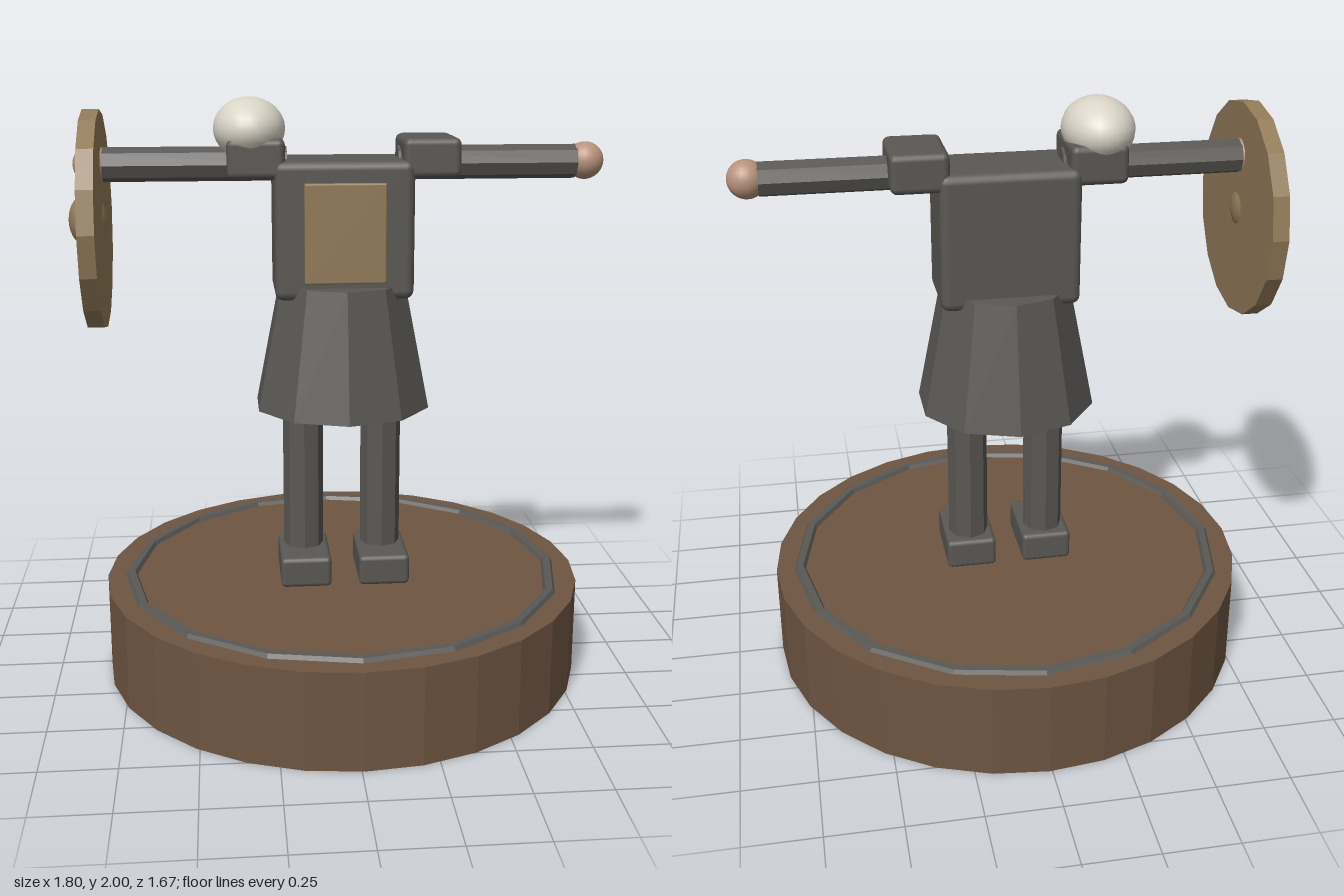
import * as THREE from 'three';
import { RoundedBoxGeometry } from 'three/addons/geometries/RoundedBoxGeometry.js';

const mat = (name, color) => {
  const m = new THREE.MeshStandardMaterial({ color });
  m.name = name;
  return m;
};

// Faceted copy of a geometry
const faceted = (geo) => {
  const g = geo.toNonIndexed();
  g.computeVertexNormals();
  return g;
};

export function createModel() {
  const iron = mat('dark iron', 0x5a5854);
  const wood = mat('brown wood', 0x6e5542);
  const tan = mat('tan leather', 0x927a58);
  const skin = mat('skin', 0xb8927c);
  const cream = mat('cream', 0xdad5c7);

  const root = new THREE.Group();
  root.name = 'shieldBearerFigure';
  const figure = new THREE.Group();
  figure.name = 'figure';
  figure.position.x = 0.009;
  root.add(figure);

  const add = (name, geo, material, x, y, z = 0) => {
    const mesh = new THREE.Mesh(geo, material);
    mesh.name = name;
    mesh.position.set(x, y, z);
    figure.add(mesh);
    return mesh;
  };
  const prism = (rTop, rBottom, h, sides) => faceted(new THREE.CylinderGeometry(rTop, rBottom, h, sides));
  const block = (w, h, d, r) => new RoundedBoxGeometry(w, h, d, 2, r);
  const ball = (rx, ry, rz) => new THREE.SphereGeometry(1, 24, 16).scale(rx, ry, rz);

  // Plinth with an inlaid ring
  add('plinth', prism(0.833, 0.833, 0.334, 28), wood, 0, 0.167);
  add('plinthRing', faceted(new THREE.TorusGeometry(0.75, 0.025, 6, 16).rotateX(Math.PI / 2)), iron, 0, 0.326);

  // Skirt, torso and chest panel
  add('skirt', prism(0.22, 0.306, 0.43, 10), iron, 0, 1.168);
  add('torso', block(0.464, 0.46, 0.286, 0.03), iron, 0, 1.57);
  add('chestPanel', block(0.27, 0.33, 0.05, 0.006), tan, 0, 1.565, 0.136);

  // Limbs, mirrored
  for (const [side, s] of [['left', 1], ['right', -1]]) {
    add(side + 'Leg', prism(0.07, 0.07, 0.58, 8), iron, s * 0.136, 0.69);
    add(side + 'Foot', block(0.175, 0.107, 0.265, 0.016), iron, s * 0.136, 0.386, 0.037);
    add(side + 'Arm', prism(0.057, 0.057, 0.605, 8).rotateZ(Math.PI / 2), iron, s * 0.4875, 1.782);
    add(side + 'ShoulderPad', block(0.19, 0.13, 0.264, 0.022), iron, s * 0.289, 1.806);
    add(side + 'Hand', ball(0.063, 0.063, 0.063), skin, s * 0.825, 1.784);
  }

  // Rounded cream mantle resting on the right shoulder
  add('shoulderMantle', ball(0.119, 0.103, 0.157), cream, -0.307, 1.897);

  // Round shield with a central boss, held at the right hand
  add('shield', prism(0.362, 0.362, 0.055, 16).rotateZ(Math.PI / 2), tan, -0.822, 1.6);
  add('shieldBoss', ball(0.064, 0.088, 0.088), tan, -0.845, 1.6);

  return root;
}
